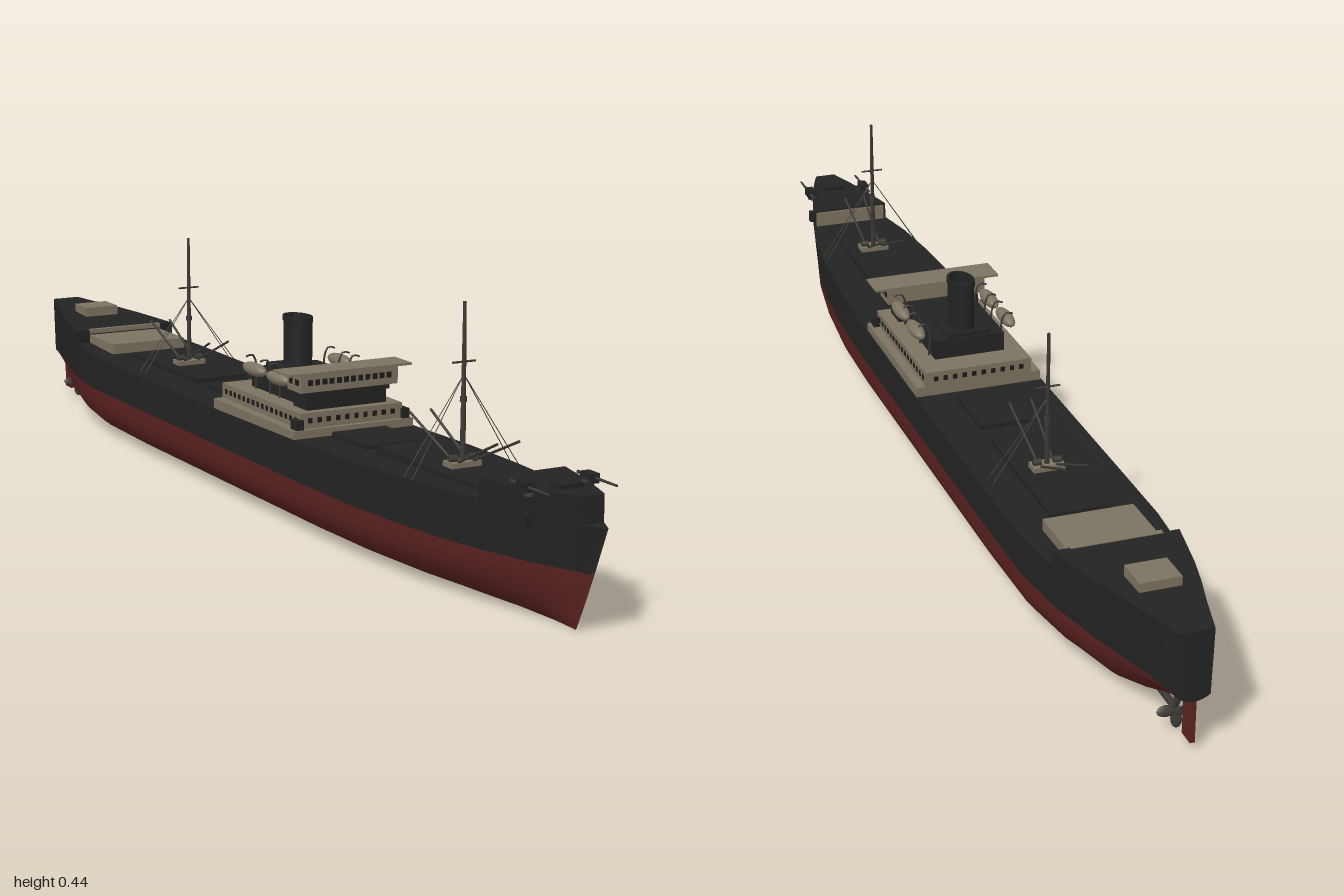
import * as THREE from 'three';
import { toCreasedNormals } from 'three/addons/utils/BufferGeometryUtils.js';

const mat = (name, color, side = THREE.FrontSide) => {
  const m = new THREE.MeshStandardMaterial({ color, side });
  m.name = name;
  return m;
};

// Stations, stern to bow: z, half beam, sheer height, keel height, waterline fullness, bilge exponent
const STATIONS = [
  [-1, 0.028, 0.205, 0.085, 0.9, 1.6], [-0.97, 0.036, 0.204, 0.075, 0.88, 1.5],
  [-0.92, 0.05, 0.202, 0.052, 0.87, 1.5], [-0.86, 0.068, 0.2, 0.024, 0.9, 1.6],
  [-0.8, 0.084, 0.197, 0.004, 0.94, 1.8], [-0.69, 0.107, 0.192, 0, 0.98, 2.2],
  [-0.69, 0.107, 0.166, 0, 0.98, 2.2], [-0.58, 0.118, 0.162, 0, 1, 2.6],
  [-0.4, 0.12, 0.16, 0, 1, 2.8], [0, 0.12, 0.16, 0, 1, 2.8],
  [0.3, 0.12, 0.164, 0, 1, 2.8], [0.45, 0.117, 0.168, 0, 1, 2.7],
  [0.6, 0.107, 0.172, 0, 0.98, 2.4], [0.7, 0.095, 0.175, 0, 0.95, 2.1],
  [0.78, 0.078, 0.177, 0, 0.92, 1.9], [0.78, 0.078, 0.208, 0, 0.92, 1.9],
  [0.87, 0.055, 0.21, 0, 0.85, 1.7], [0.93, 0.034, 0.212, 0, 0.75, 1.6],
  [0.965, 0.02, 0.214, 0, 0.65, 1.5], [0.968, 0.018, 0.172, 0, 0.65, 1.5],
  [1, 0.003, 0.172, 0, 1, 1.5],
];
const WATER = 0.095;

// Pulls the stem aft below the deck
function rake(x, y, z) {
  const w = Math.max(0, (z - 0.7) / 0.3) ** 2;
  return [x, y, z - 0.07 * w * Math.max(0, 1 - y / 0.17)];
}

// Underwater half section from keel to waterline
function halfSection([z, b, , k, f, n]) {
  const pts = [];
  for (let i = 0; i <= 9; i++) {
    const a = (i / 9) * Math.PI / 2;
    const x = b * f * Math.sin(a) ** (2 / n);
    const y = k + (WATER - k) * (1 - Math.max(0, Math.cos(a)) ** (2 / n));
    pts.push(rake(x, y, z));
  }
  return pts;
}
const mirror = pts => pts.map(([x, y, z]) => [-x, y, z]).reverse();

// Skin stretched over rows of points
function loft(rows, crease = 0.6) {
  const n = rows[0].length, index = [];
  for (let i = 0; i < rows.length - 1; i++) {
    for (let j = 0; j < n - 1; j++) {
      const a = i * n + j, c = a + n;
      index.push(a, a + 1, c, a + 1, c + 1, c);
    }
  }
  const g = new THREE.BufferGeometry();
  g.setAttribute('position', new THREE.Float32BufferAttribute(rows.flat(2), 3));
  g.setIndex(index);
  return toCreasedNormals(g, crease);
}

export function createModel() {
  const black = mat('hull black', 0x232323, THREE.DoubleSide);
  const red = mat('antifouling red', 0x5c2222, THREE.DoubleSide);
  const cream = mat('weathered cream', 0x7c7361);
  const grey = mat('rigging grey', 0x3a3935);
  const dark = mat('window dark', 0x1b1b1c);

  const ship = new THREE.Group();
  ship.name = 'cargoShip';
  const add = (name, geo, m, x = 0, y = 0, z = 0, parent = ship) => {
    const mesh = new THREE.Mesh(geo, m);
    mesh.name = name;
    mesh.position.set(x, y, z);
    parent.add(mesh);
    return mesh;
  };
  // Box given by its extents
  const box = (name, m, x0, x1, y0, y1, z0, z1) =>
    add(name, new THREE.BoxGeometry(x1 - x0, y1 - y0, z1 - z0), m, (x0 + x1) / 2, (y0 + y1) / 2, (z0 + z1) / 2);
  // Straight rod between two points
  const rod = (name, m, a, b, r, r2 = r) => {
    const A = new THREE.Vector3(...a), d = new THREE.Vector3(...b).sub(A);
    const mesh = add(name, new THREE.CylinderGeometry(r2, r, d.length(), 8), m);
    mesh.position.copy(A).addScaledVector(d, 0.5);
    mesh.quaternion.setFromUnitVectors(new THREE.Vector3(0, 1, 0), d.normalize());
  };

  // Hull
  const halves = STATIONS.map(halfSection);
  const lower = halves.map(h => [...mirror(h), ...h.slice(1)]);
  add('lowerHull', loft(lower), red);
  const sides = STATIONS.map(([z, b, s], i) => [halves[i][9], rake(b, s, z)]);
  add('leftTopside', loft(sides), black);
  add('rightTopside', loft(sides.map(mirror)), black);
  add('decks', loft(sides.map(([, p]) => [p, [-p[0], p[1], p[2]]]), 0.3), black);
  const rim = [mirror(sides[0])[0], ...lower[0], sides[0][1]];
  add('transom', loft([rim.map(([, y, z]) => [0, y, z]), rim]), black);

  // Rudder and propeller
  box('rudder', red, -0.004, 0.004, 0.012, 0.09, -0.998, -0.968);
  rod('propellerShaft', grey, [0, 0.034, -0.95], [0, 0.034, -0.86], 0.006);
  for (let i = 0; i < 4; i++) {
    const blade = add('propellerBlade', new THREE.SphereGeometry(1, 10, 6), grey);
    const a = i * Math.PI / 2;
    blade.scale.set(0.009, 0.016, 0.003);
    blade.position.set(Math.sin(a) * 0.017, 0.034 + Math.cos(a) * 0.017, -0.938);
    blade.rotation.set(0, 0.5, -a, 'ZYX');
  }

  // Forecastle bulkhead and deck gear
  box('forecastleBulkhead', cream, -0.072, 0.072, 0.176, 0.205, 0.774, 0.779);
  box('windlass', black, -0.022, 0.022, 0.208, 0.218, 0.88, 0.91);
  for (const s of [-1, 1]) {
    add('gunPedestal', new THREE.CylinderGeometry(0.01, 0.013, 0.014, 12), black, s * 0.05, 0.207, 0.875);
    box('gunMount', black, s * 0.058 - 0.008, s * 0.058 + 0.008, 0.207, 0.222, 0.86, 0.888);
    rod('gunBarrel', grey, [s * 0.06, 0.215, 0.84], [s * 0.06, 0.215, 0.94], 0.003, 0.002);
    box('anchor', black, s * 0.057 - 0.004, s * 0.057 + 0.004, 0.15, 0.172, 0.868, 0.88);
  }

  // Cargo hatches
  for (const [z0, z1, y] of [[-0.54, -0.245, 0.161], [-0.2, -0.07, 0.16], [0.28, 0.395, 0.166], [0.43, 0.76, 0.173]])
    box('hatch', black, -0.052, 0.052, y - 0.012, y + 0.008, z0, z1);

  // Masts with mast house, booms, crosstree and shrouds
  for (const [z, deck, top] of [[0.61, 0.172, 0.445], [-0.385, 0.16, 0.415]]) {
    box('mastHouse', cream, -0.028, 0.028, deck, deck + 0.018, z - 0.014, z + 0.014);
    rod('mast', grey, [0, deck, z], [0, top, z], 0.005, 0.0028);
    const tree = top - 0.096;
    rod('crosstree', grey, [-0.021, tree, z], [0.021, tree, z], 0.0018);
    add('mastCollar', new THREE.CylinderGeometry(0.006, 0.006, 0.008, 10), grey, 0, tree - 0.06, z);
    for (const s of [-1, 1]) {
      for (const d of [-1, 1]) {
        rod('boom', grey, [s * 0.014, deck + 0.018, z + d * 0.01], [s * 0.02, deck + 0.073, z + d * 0.13], 0.0022);
        rod('shroud', grey, [0, tree - 0.02, z], [s * 0.1, deck, z + d * 0.012], 0.0007);
      }
      add('winch', new THREE.CylinderGeometry(0.006, 0.006, 0.014, 10).rotateZ(Math.PI / 2), grey, s * 0.018, deck + 0.022, z);
    }
  }

  // Midship house
  box('houseBase', cream, -0.117, 0.117, 0.156, 0.178, -0.04, 0.264);
  box('lowerHouse', cream, -0.1, 0.1, 0.17, 0.205, -0.04, 0.255);
  box('upperHouse', black, -0.078, 0.078, 0.205, 0.232, 0.19, 0.238);
  box('boatDeckHouse', black, -0.066, 0.066, 0.205, 0.24, 0.01, 0.2);
  box('engineCasing', black, -0.04, 0.04, 0.24, 0.247, 0.015, 0.11);
  for (const s of [-1, 1]) {
    for (let i = 0; i < 16; i++) {
      const z = -0.024 + i * 0.0175;
      box('houseWindow', dark, s * 0.1 - 0.001, s * 0.1 + 0.001, 0.187, 0.196, z - 0.004, z + 0.004);
    }
    box('deckLocker', black, s * 0.104 - 0.007, s * 0.104 + 0.007, 0.178, 0.195, 0.24, 0.262);
  }
  for (let i = 0; i < 10; i++) {
    const x = -0.081 + i * 0.018;
    box('frontWindow', dark, x - 0.004, x + 0.004, 0.187, 0.196, 0.254, 0.256);
    box('backWindow', dark, x - 0.004, x + 0.004, 0.187, 0.196, -0.041, -0.039);
  }

  // Bridge
  box('bridge', cream, -0.095, 0.095, 0.238, 0.27, 0.2, 0.248);
  box('bridgeFloor', black, -0.08, 0.08, 0.23, 0.238, 0.195, 0.245);
  box('bridgeRoof', cream, -0.12, 0.12, 0.269, 0.273, 0.194, 0.253);
  for (let i = 0; i < 12; i++) {
    const x = -0.077 + i * 0.014;
    box('bridgeWindow', dark, x - 0.0045, x + 0.0045, 0.25, 0.26, 0.247, 0.249);
  }
  for (const s of [-1, 1])
    for (const z of [0.212, 0.234])
      box('bridgeSideWindow', dark, s * 0.095 - 0.001, s * 0.095 + 0.001, 0.25, 0.26, z - 0.006, z + 0.006);

  // Funnel
  const funnel = new THREE.LatheGeometry([[0.95, 0.235], [0.95, 0.325], [1, 0.326], [1, 0.335], [0.85, 0.335], [0.85, 0.315], [0, 0.315]]
    .map(p => new THREE.Vector2(...p)), 32).scale(0.024, 1, 0.036);
  add('funnel', toCreasedNormals(funnel, 0.6), black, 0, 0, 0.06);

  // Lifeboats on davits
  for (const s of [-1, 1]) {
    for (const z of [0.06, 0.15]) {
      add('lifeboat', new THREE.SphereGeometry(1, 16, 10).scale(0.013, 0.012, 0.04), cream, s * 0.086, 0.246, z);
      for (const d of [-0.027, 0.027]) {
        const davit = new THREE.CatmullRomCurve3([[0.07, 0.205], [0.069, 0.25], [0.077, 0.267], [0.09, 0.264]]
          .map(([x, y]) => new THREE.Vector3(s * x, y, z + d)));
        add('davit', new THREE.TubeGeometry(davit, 10, 0.0018, 6), grey);
      }
    }
  }

  // After deckhouses
  box('afterDeckhouse', cream, -0.078, 0.078, 0.155, 0.182, -0.692, -0.572);
  box('poopRoof', cream, -0.078, 0.078, 0.185, 0.1935, -0.695, -0.685);
  box('poopHouse', cream, -0.035, 0.035, 0.195, 0.216, -0.865, -0.805);
  return ship;
}
